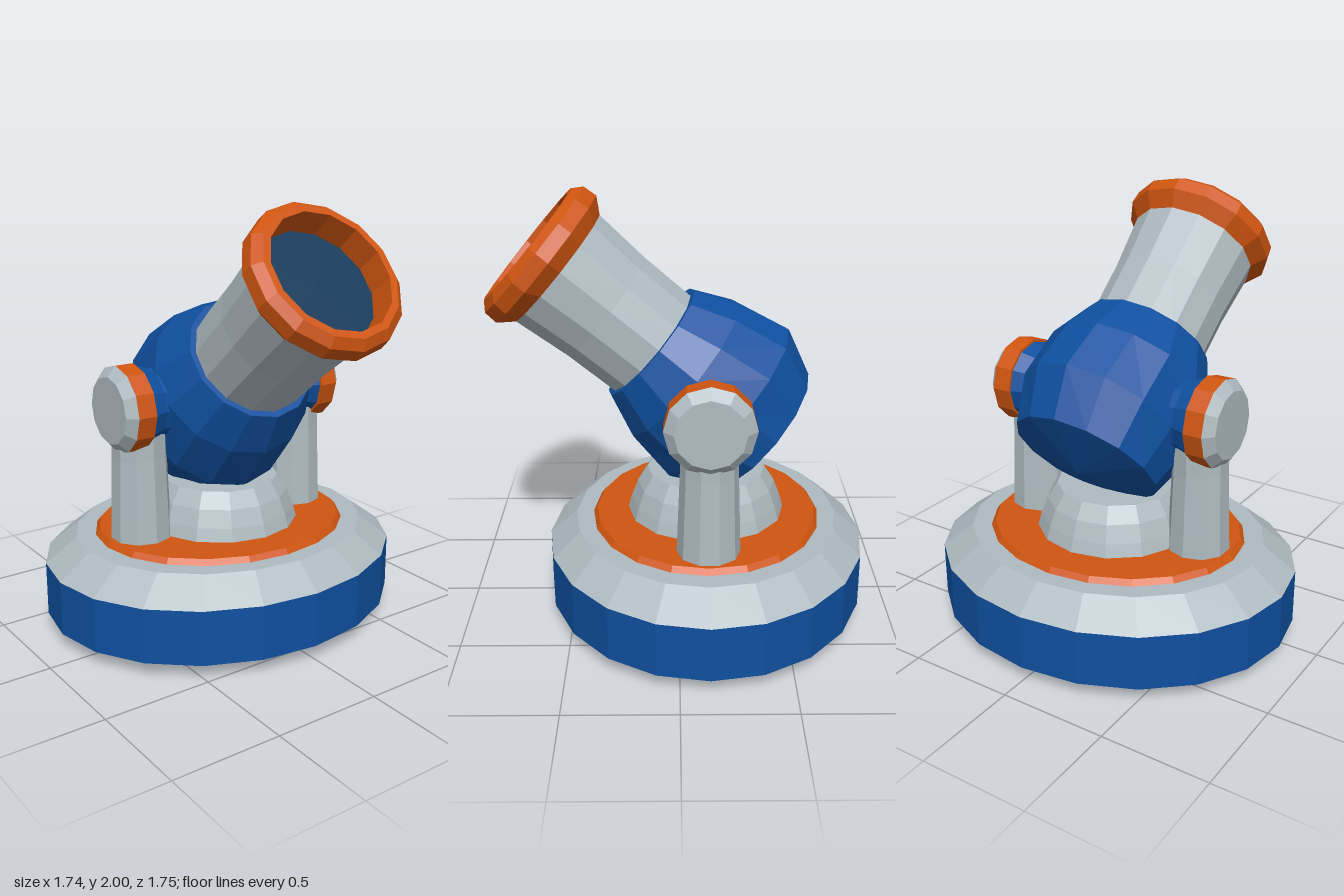
import * as THREE from 'three';

export function createModel() {
  const model = new THREE.Group();
  model.name = 'cannonTurret';

  const paint = (name, color) => {
    const m = new THREE.MeshStandardMaterial({ color, flatShading: true });
    m.name = name;
    return m;
  };
  const blue = paint('blue', 0x0f50a0);
  const grey = paint('grey', 0xafbbc1);
  const orange = paint('orange', 0xcf5510);
  const darkBlue = paint('darkBlue', 0x12395a);

  // Faceted turned part; profile is [radius, height] from bottom to top
  const turned = (parent, name, material, sides, profile) => {
    const pts = profile.map(([r, y]) => new THREE.Vector2(r, y));
    const mesh = new THREE.Mesh(new THREE.LatheGeometry(pts, sides), material);
    mesh.name = name;
    parent.add(mesh);
    return mesh;
  };
  const group = (name, y) => {
    const g = new THREE.Group();
    g.name = name;
    g.position.set(0, y, -0.13);
    model.add(g);
    return g;
  };

  // Oval base, narrower from front to back
  const base = group('base', 0);
  base.scale.z = 0.865;
  turned(base, 'baseRing', blue, 20, [[0, 0], [0.67, 0], [0.87, 0.07], [0.87, 0.325]]);
  turned(base, 'baseTop', grey, 20, [[0.87, 0.325], [0.72, 0.435], [0, 0.435]]);
  turned(base, 'turntable', orange, 20, [[0.63, 0.43], [0.605, 0.46], [0, 0.46]]);

  // Round pedestal under the ball
  const support = group('support', 0);
  turned(support, 'pedestal', grey, 14,
    [[0.375, 0.45], [0.355, 0.52], [0.325, 0.6], [0.278, 0.673], [0, 0.673]]);

  // Posts and trunnions, one on each side
  const pivot = 1.08;
  for (const side of [1, -1]) {
    const post = turned(support, side > 0 ? 'leftPost' : 'rightPost', grey, 10,
      [[0.143, 0.45], [0.138, 0.58], [0.128, 0.85], [0.128, 1.08], [0, 1.08]]);
    post.position.x = side * 0.445;

    const trunnion = group(side > 0 ? 'leftTrunnion' : 'rightTrunnion', pivot);
    trunnion.rotation.z = -side * Math.PI / 2;
    turned(trunnion, 'trunnionNeck', blue, 12, [[0.16, 0.28], [0.165, 0.39], [0.19, 0.47]]);
    turned(trunnion, 'trunnionBand', orange, 12, [[0, 0.465], [0.2, 0.465], [0.2, 0.555]]);
    turned(trunnion, 'trunnionCap', grey, 12, [[0.2, 0.555], [0.155, 0.597], [0, 0.597]]);
  }

  // Tilted gun, built along its own axis from the pivot
  const gun = group('gun', pivot);
  gun.rotation.x = THREE.MathUtils.degToRad(50);
  const ball = turned(gun, 'ball', blue, 14,
    [[0, -0.4], [0.345, -0.324], [0.447, -0.11], [0.395, 0.143], [0.308, 0.335], [0, 0.335]]);
  // Slim the ball's sides so it fits between the posts
  const pos = ball.geometry.attributes.position;
  for (let i = 0; i < pos.count; i++) {
    const r = Math.hypot(pos.getX(i), pos.getZ(i));
    if (r > 0.4) pos.setX(i, pos.getX(i) * 0.4 / r);
  }
  ball.geometry.computeVertexNormals();

  // Flared barrel with a hollow muzzle
  turned(gun, 'barrel', grey, 14, [[0.28, 0.3], [0.284, 0.6], [0.306, 0.9]]);
  turned(gun, 'muzzleRim', orange, 14,
    [[0.3, 0.87], [0.362, 0.94], [0.357, 1.005], [0.318, 1.04], [0.285, 1.04], [0.278, 0.91]]);
  turned(gun, 'boreFloor', darkBlue, 14, [[0.28, 0.912], [0, 0.912]]);

  return model;
}
